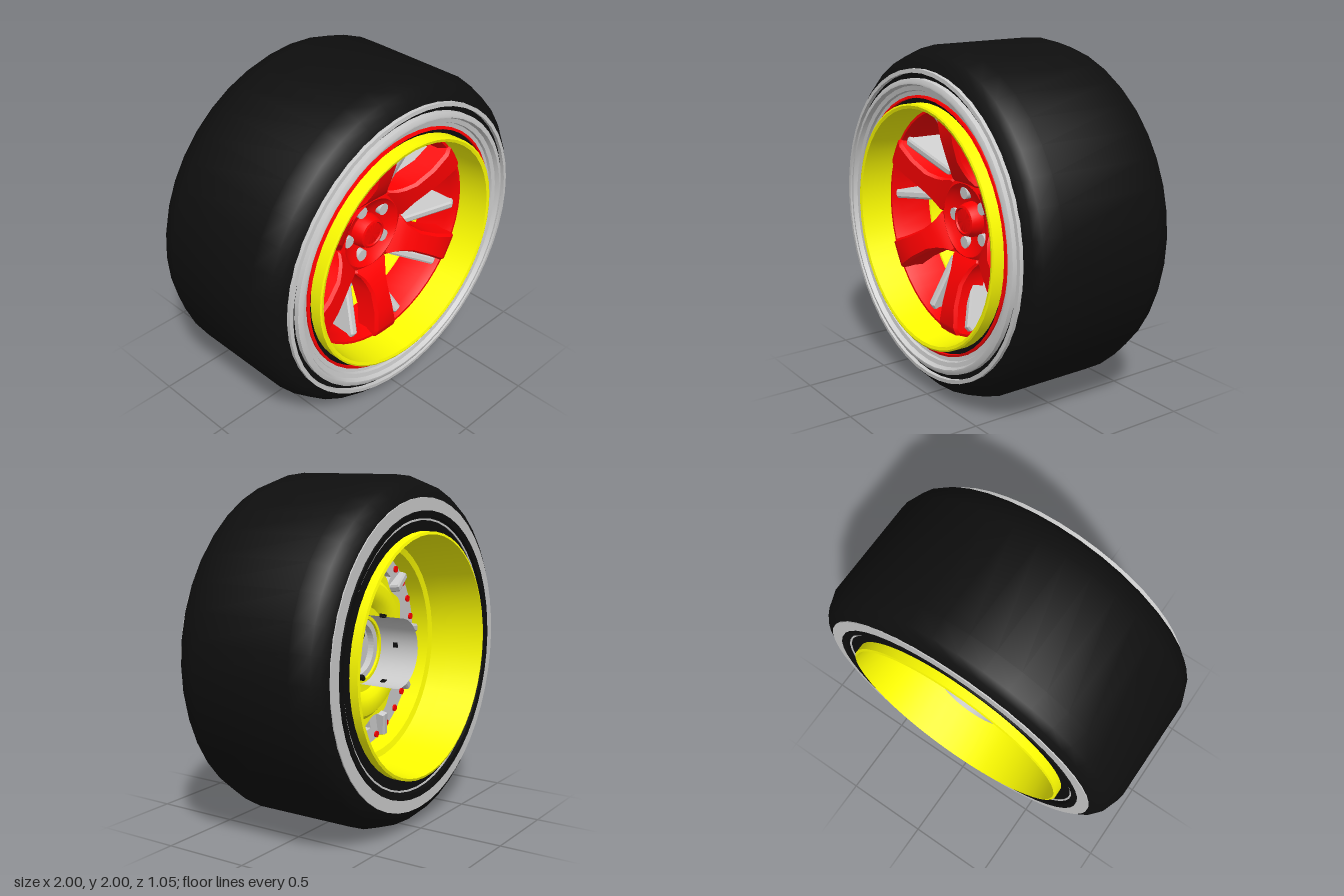
import * as THREE from 'three';
import { toCreasedNormals } from 'three/addons/utils/BufferGeometryUtils.js';

const mat = (color) => new THREE.MeshStandardMaterial({ color, side: THREE.DoubleSide });
const GREY = mat(0xcccccc), BLACK = mat(0x0e0e0e), RED = mat(0xff0000), YELLOW = mat(0xffff00);
const GREY_ONE_SIDED = new THREE.MeshStandardMaterial({ color: 0xcccccc });

export function createModel() {
  const model = new THREE.Group();
  const wheel = new THREE.Group();
  wheel.name = 'wheel';
  wheel.position.y = 1;
  model.add(wheel);

  const add = (name, geometry, material, angle = 0) => {
    const mesh = new THREE.Mesh(geometry, material);
    mesh.name = name;
    mesh.rotation.z = angle;
    wheel.add(mesh);
  };

  // Turned part around the z axle from [radius, z] points
  const turn = (name, material, pts, closed = true, segments = 48) => {
    const p = (closed ? [...pts, pts[0]] : pts).map(([r, z]) => new THREE.Vector2(r, z));
    const g = new THREE.LatheGeometry(p, segments).rotateX(Math.PI / 2);
    add(name, toCreasedNormals(g, 0.5), material);
  };

  // Rod along z, centred at radius r
  const rod = (name, material, r, angle, z, radius, length, sides = 16) => {
    const g = new THREE.CylinderGeometry(radius, radius, length, sides).rotateX(Math.PI / 2);
    g.translate(r, 0, z);
    add(name, g, material, angle);
  };

  // Tyre
  turn('tyre', BLACK, [
    [0.69, -0.47], [0.82, -0.472], [0.88, -0.478], [0.93, -0.455], [0.963, -0.415],
    [1, -0.31], [1, 0.31], [0.963, 0.415], [0.93, 0.45], [0.88, 0.475],
    [0.82, 0.47], [0.69, 0.45],
  ], true, 40);

  // Front lips
  turn('frontOuterBead', GREY, [[0.882, 0.44], [0.882, 0.495], [0.86, 0.497], [0.86, 0.44]]);
  turn('frontLip', GREY, [
    [0.83, 0.43], [0.83, 0.5], [0.81, 0.51], [0.8, 0.51], [0.79, 0.485], [0.765, 0.48],
    [0.76, 0.465], [0.735, 0.46], [0.735, 0.43],
  ]);
  turn('frontRedTrim', RED, [[0.736, 0.42], [0.736, 0.47], [0.722, 0.475], [0.722, 0.42]]);

  // Back lips
  turn('backOuterBead', GREY, [[0.8, -0.484], [0.88, -0.484], [0.88, -0.45], [0.8, -0.45]]);
  turn('backSeal', BLACK, [[0.775, -0.49], [0.808, -0.494], [0.808, -0.45], [0.775, -0.45]]);
  turn('backLipLine', GREY, [[0.755, -0.476], [0.765, -0.476], [0.765, -0.45], [0.755, -0.45]]);

  // Barrel with a stepped inside
  turn('barrel', YELLOW, [
    [0.68, -0.525], [0.695, -0.52], [0.695, 0.52], [0.685, 0.525], [0.668, 0.52], [0.655, 0.34],
    [0.65, 0.1], [0.6, 0.08], [0.6, -0.19], [0.635, -0.2], [0.65, -0.3],
  ]);
  turn('spokeRing', RED, [[0.61, 0.08], [0.658, 0.08], [0.658, 0.33], [0.64, 0.33], [0.615, 0.28]]);

  // Six spokes lofted outwards: radius, half width, front z, back z
  const stations = [
    [0.19, 0.11, 0.2, 0.08], [0.225, 0.128, 0.23, 0.08], [0.26, 0.1, 0.258, 0.09],
    [0.3, 0.082, 0.28, 0.11], [0.36, 0.068, 0.31, 0.15], [0.48, 0.072, 0.345, 0.2],
    [0.6, 0.085, 0.36, 0.22], [0.62, 0.09, 0.355, 0.22], [0.656, 0.092, 0.34, 0.22],
  ];
  const position = [], index = [], n = 6;
  stations.forEach(([r, w, f, b], i) => {
    const loop = [[-w - 0.012, b], [w + 0.012, b], [w, f - 0.02], [w - 0.014, f], [0.014 - w, f], [-w, f - 0.02]];
    loop.forEach(([y, z]) => position.push(r, y, z));
    if (i === stations.length - 1) return;
    for (let j = 0; j < n; j++) {
      const a = i * n + j, c = i * n + (j + 1) % n;
      index.push(a, c, c + n, a, c + n, a + n);
    }
  });
  const loft = new THREE.BufferGeometry();
  loft.setAttribute('position', new THREE.Float32BufferAttribute(position, 3));
  loft.setIndex(index);
  const spoke = toCreasedNormals(loft, 0.5);
  for (let i = 0; i < 6; i++) add('spoke', spoke, RED, Math.PI / 6 + i * Math.PI / 3);

  // Dished hub, centre cap and lug nuts
  turn('hub', RED, [[0, 0.06], [0.24, 0.06], [0.24, 0.215], [0.215, 0.226], [0.19, 0.2], [0.12, 0.165], [0, 0.16]], false);
  turn('centreCap', RED, [[0.105, 0.15], [0.1, 0.2], [0.088, 0.235], [0.075, 0.24], [0.07, 0.23], [0, 0.23]], false, 32);
  for (let i = 0; i < 5; i++) rod('lugNut', GREY, 0.155, Math.PI + i * Math.PI * 0.4, 0.175, 0.036, 0.05);

  // Ten leaning fins
  const finShape = new THREE.Shape([
    [0.3, 0.14], [0.42, 0.02], [0.46, -0.14], [0.595, -0.12], [0.635, 0.1], [0.635, 0.3], [0.6, 0.32], [0.3, 0.2],
  ].map(([r, z]) => new THREE.Vector2(r, z)));
  const fin = new THREE.ExtrudeGeometry(finShape, {
    depth: 0.026, bevelThickness: 0.012, bevelSize: 0.008, bevelOffset: -0.008, bevelSegments: 1,
  });
  fin.translate(0, 0, -0.013).rotateX(Math.PI / 2);
  fin.translate(-0.62, 0, 0).rotateZ(0.17).translate(0.62, 0, 0);

  // Plate carrying the fins, with a window between every other pair
  const plate = new THREE.Shape().absarc(0, 0, 0.602, 0, Math.PI * 2);
  plate.holes.push(new THREE.Path().absarc(0, 0, 0.15, 0, Math.PI * 2, true));
  for (let i = 0; i < 10; i++) {
    const angle = -0.07 + i * Math.PI / 5;
    add('fin', fin, GREY, angle);
    if (i % 2 === 0) continue;
    const a0 = angle + 0.15, a1 = angle + 0.47;
    const hole = new THREE.Path();
    hole.absarc(0, 0, 0.51, a0, a1, false);
    hole.absarc(0, 0, 0.4, a1, a0, true);
    plate.holes.push(hole);
  }
  const plateGeo = new THREE.ExtrudeGeometry(plate, { depth: 0.04, bevelEnabled: false, curveSegments: 24 });
  plateGeo.translate(0, 0, -0.08);
  add('finPlate', plateGeo, GREY);
  for (let i = 0; i < 30; i++) rod('plateStud', RED, 0.575, i * Math.PI / 15, -0.08, 0.02, 0.02, 10);

  // Brake disc: grey front, bulged yellow back with a scalloped rim
  turn('brakeDisc', GREY, [[0.15, -0.03], [0.39, -0.03], [0.39, 0.02], [0.3, 0.04], [0.15, 0.04]]);
  turn('brakeBackPlate', YELLOW, [
    [0.18, -0.1], [0.25, -0.1], [0.29, -0.13], [0.34, -0.14], [0.39, -0.13], [0.42, -0.1], [0.18, -0.085],
  ]);
  const scallops = Array.from({ length: 96 }, (_, i) => {
    const a = i / 96 * Math.PI * 2, r = 0.45 + 0.018 * Math.cos(12 * a);
    return new THREE.Vector2(r * Math.cos(a), r * Math.sin(a));
  });
  const rim = new THREE.Shape(scallops);
  rim.holes.push(new THREE.Path().absarc(0, 0, 0.2, 0, Math.PI * 2, true));
  const rimGeo = new THREE.ExtrudeGeometry(rim, { depth: 0.015, bevelEnabled: false, curveSegments: 24 });
  add('brakeBackRim', rimGeo.translate(0, 0, -0.1), YELLOW);

  // Axle drum, open to the back
  turn('axleDrum', GREY_ONE_SIDED, [[0, -0.04], [0.2, -0.04], [0.2, -0.35]], false, 32);
  const ring = new THREE.TorusGeometry(0.055, 0.004, 6, 32);
  add('axleRing', ring.translate(0, 0, -0.041), YELLOW);
  const clip = new THREE.BoxGeometry(0.02, 0.03, 0.03).translate(0.205, 0, -0.2);
  for (let i = 0; i < 5; i++) add('drumClip', clip, BLACK, 0.6 + i * Math.PI * 0.4);

  return model;
}
